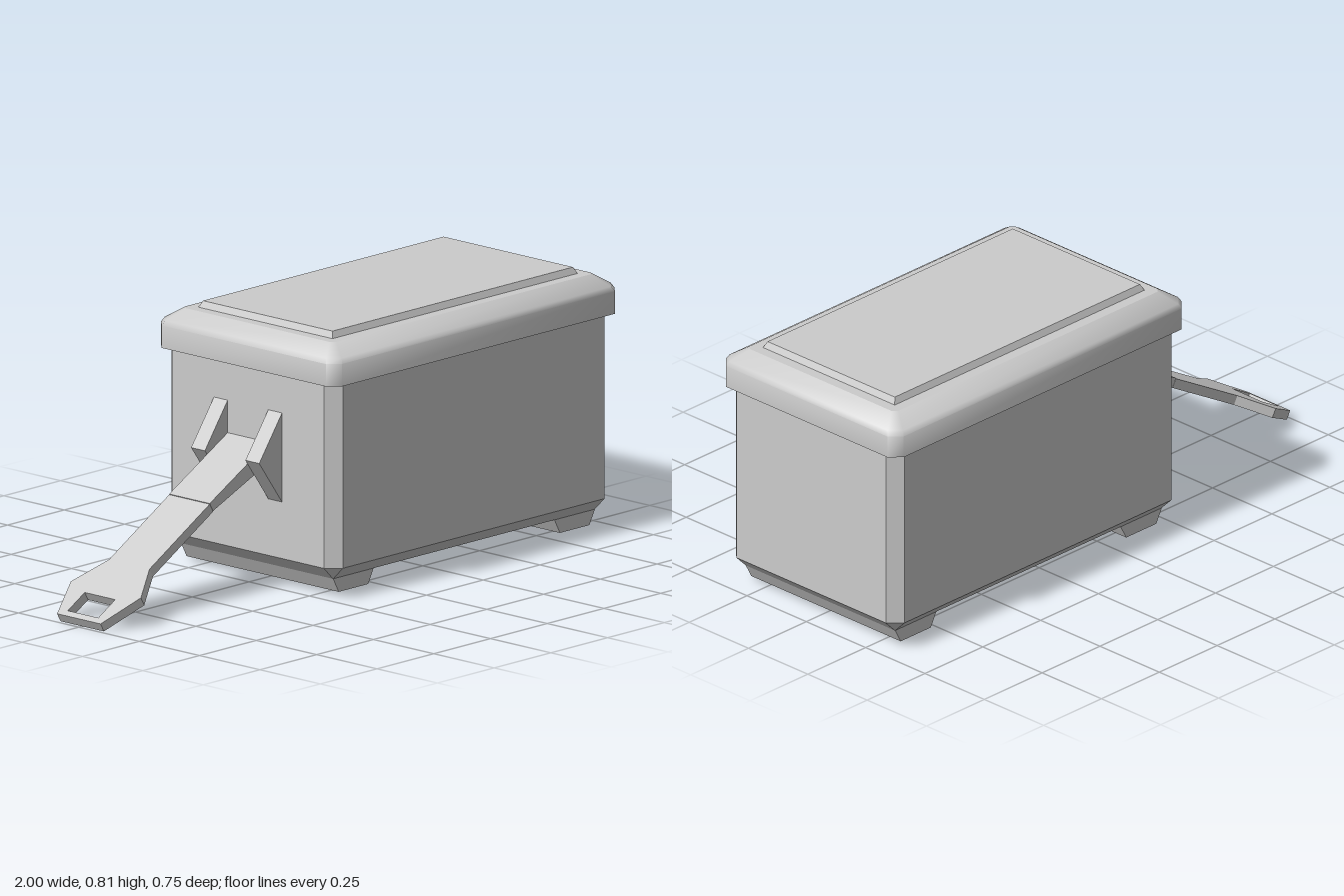
import * as THREE from 'three';
import { mergeGeometries, toCreasedNormals } from 'three/addons/utils/BufferGeometryUtils.js';

const CX = 0.3625; // centre of the box along x
const material = new THREE.MeshStandardMaterial({ color: 0xcccccc });

// Rectangle with cut corners at height y, counter-clockwise from above
function ring([y, hx, hz, c = 0]) {
  const pts = [];
  [[1, 1], [1, -1], [-1, -1], [-1, 1]].forEach(([sx, sz], i) => {
    const alongX = [sx * (hx - c), y, sz * hz];
    const alongZ = [sx * hx, y, sz * (hz - c)];
    if (c === 0) pts.push(alongX);
    else if (i % 2 === 0) pts.push(alongX, alongZ);
    else pts.push(alongZ, alongX);
  });
  return pts;
}

function soup(triangles) {
  const g = new THREE.BufferGeometry();
  g.setAttribute('position', new THREE.Float32BufferAttribute(triangles.flat(2), 3));
  g.computeVertexNormals();
  return g;
}

// Closed solid through a stack of rings; the end caps stay flat
function loft(levels, crease = 0) {
  const rings = levels.map(ring);
  const n = rings[0].length;
  const sides = [], caps = [];
  for (let i = 0; i < rings.length - 1; i++) {
    for (let j = 0; j < n; j++) {
      const k = (j + 1) % n;
      const [lo, hi] = [rings[i], rings[i + 1]];
      sides.push([lo[j], lo[k], hi[k]], [lo[j], hi[k], hi[j]]);
    }
  }
  const bottom = rings[0], top = rings[rings.length - 1];
  for (let j = 1; j < n - 1; j++) {
    caps.push([bottom[0], bottom[j + 1], bottom[j]], [top[0], top[j], top[j + 1]]);
  }
  let wall = soup(sides);
  if (crease > 0) wall = toCreasedNormals(wall, crease);
  return mergeGeometries([wall, soup(caps)]);
}

// Flat outline extruded and centred on z
function slab(points, depth, hole) {
  const shape = new THREE.Shape(points.map(p => new THREE.Vector2(...p)));
  if (hole) shape.holes.push(new THREE.Path(hole.map(p => new THREE.Vector2(...p))));
  return new THREE.ExtrudeGeometry(shape, { depth, bevelEnabled: false }).translate(0, 0, -depth / 2);
}

export function createModel() {
  const model = new THREE.Group();
  model.name = 'chestWithHandle';
  const add = (name, geometry, x = 0, y = 0, z = 0, parent = model) => {
    const mesh = new THREE.Mesh(geometry, material);
    mesh.name = name;
    mesh.position.set(x, y, z);
    parent.add(mesh);
    return mesh;
  };

  // Box with chamfered corners and bottom edge
  add('body', loft([
    [0.06, 0.577, 0.315, 0.001],
    [0.10, 0.617, 0.355, 0.04],
    [0.69, 0.617, 0.355, 0.04],
  ]), CX);

  // Overhanging lid with rounded shoulder
  add('lid', loft([
    [0.675, 0.636, 0.375, 0.035],
    [0.745, 0.636, 0.375, 0.035],
    [0.760, 0.627, 0.366, 0.033],
    [0.795, 0.575, 0.313, 0.015],
  ], 0.95), CX);
  add('lidPanel', loft([[0.79, 0.5425, 0.28], [0.815, 0.53, 0.268]]), CX);

  // Feet running across the base
  for (const [name, x] of [['rightFoot', -0.125], ['leftFoot', 0.85]]) {
    add(name, loft([[0.015, 0.065, 0.315], [0.062, 0.09, 0.315]]), x);
  }

  // Pair of triangular brackets on the end wall
  const bracket = slab([[-0.25, 0.56], [-0.355, 0.415], [-0.25, 0.27]], 0.057);
  add('frontBracket', bracket, 0, 0, 0.1125);
  add('backBracket', bracket, 0, 0, -0.1125);

  // Handle: tapered root, then a flat arm with a slotted hexagonal grip
  const handle = new THREE.Group();
  handle.name = 'handle';
  model.add(handle);
  add('handleRoot', slab([[-0.25, 0.455], [-0.5125, 0.31], [-0.4975, 0.284], [-0.25, 0.39]], 0.168), 0, 0, 0, handle);
  const half = [[0, 0.084], [-0.306, 0.084], [-0.425, 0.145], [-0.5624, 0.09]];
  const mirrored = half.map(([x, y]) => [x, -y]).reverse();
  const arm = slab([...half, ...mirrored], 0.03,
    [[-0.455, 0.063], [-0.455, -0.063], [-0.541, -0.063], [-0.541, 0.063]]);
  arm.rotateX(-Math.PI / 2);
  add('handleArm', arm, -0.505, 0.295, 0, handle).rotation.z = 0.522;

  return model;
}
